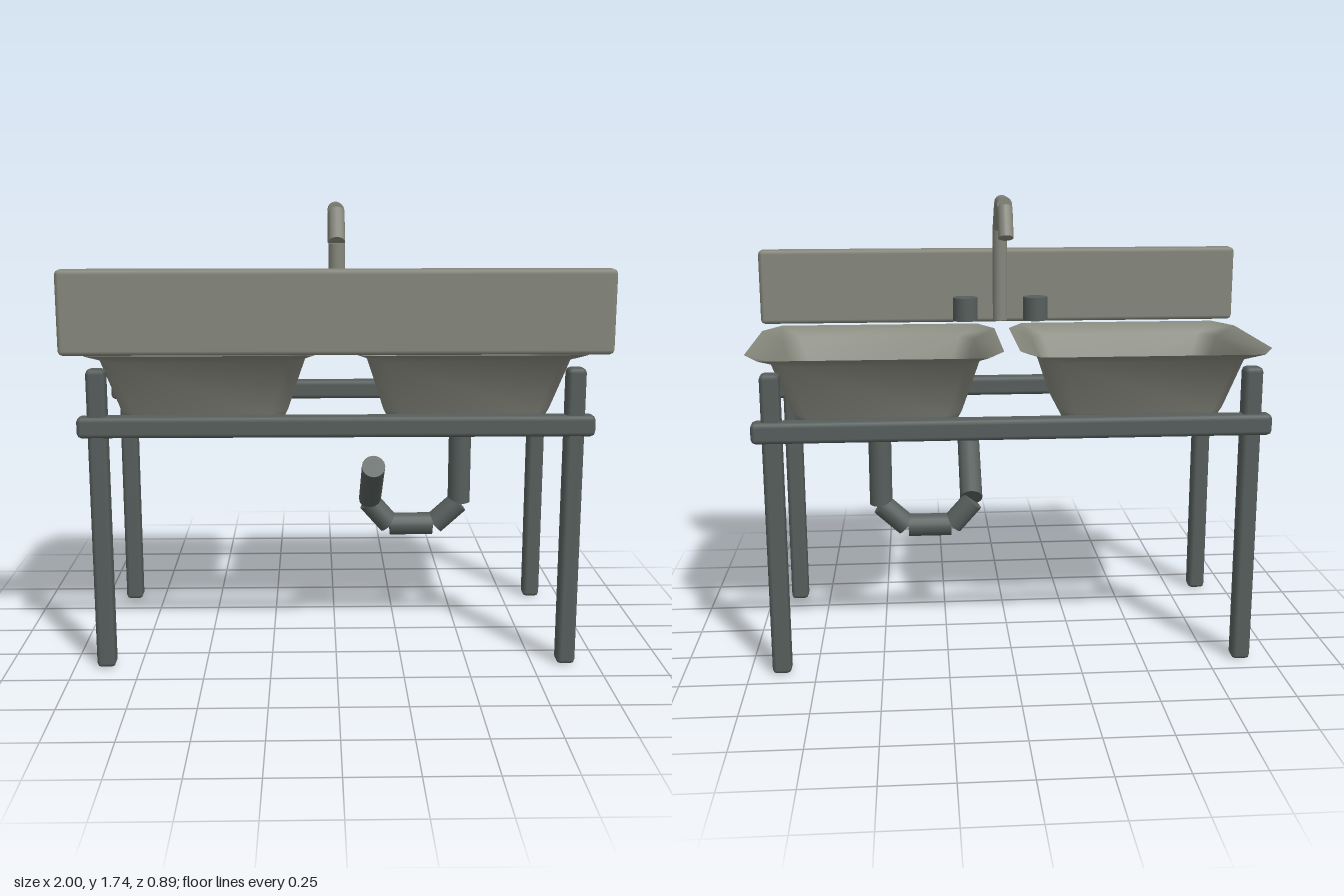
import * as THREE from 'three';
import { RoundedBoxGeometry } from 'three/addons/geometries/RoundedBoxGeometry.js';

const steel = new THREE.MeshStandardMaterial({ color: 0x85877c });
const iron = new THREE.MeshStandardMaterial({ color: 0x565e5c });
const sheet = new THREE.MeshStandardMaterial({ color: 0x85877c, side: THREE.DoubleSide });

function add(parent, name, geometry, material, x = 0, y = 0, z = 0) {
  const mesh = new THREE.Mesh(geometry, material);
  mesh.name = name;
  mesh.position.set(x, y, z);
  parent.add(mesh);
  return mesh;
}

// Box with small chamfered edges
const bar = (w, h, d, r = 0.017) => new RoundedBoxGeometry(w, h, d, 1, r);

// Straight round tube between two points
function tube(parent, name, a, b, radius, material) {
  const from = new THREE.Vector3(...a), to = new THREE.Vector3(...b);
  const dir = to.clone().sub(from);
  const mesh = add(parent, name, new THREE.CylinderGeometry(radius, radius, dir.length(), 16), material);
  mesh.position.copy(from).add(to).multiplyScalar(0.5);
  mesh.quaternion.setFromUnitVectors(new THREE.Vector3(0, 1, 0), dir.normalize());
}

// Basin: cut-cornered rings lofted from the flared rim down to the floor
function basinGeometry() {
  // [height, half width, half depth, corner cut x, corner cut z]
  const rings = [
    [1.2, 0.475, 0.41, 0.065, 0.135],
    [1.163, 0.388, 0.328, 0.06, 0.1],
    [0.955, 0.32, 0.257, 0.06, 0.085],
    [0.915, 0.3, 0.242, 0.065, 0.085],
    [0.915, 0.24, 0.18, 0.06, 0.07],
  ];
  const pos = [], index = [];
  for (const [y, w, d, cx, cz] of rings) {
    const loop = [
      [w, d - cz], [w - cx, d], [cx - w, d], [-w, d - cz],
      [-w, cz - d], [cx - w, -d], [w - cx, -d], [w, cz - d],
    ];
    for (const [x, z] of loop) pos.push(x, y, z);
  }
  for (let r = 0; r < rings.length - 1; r++) {
    for (let i = 0; i < 8; i++) {
      const a = r * 8 + i, b = r * 8 + (i + 1) % 8;
      index.push(a, a + 8, b, b, a + 8, b + 8);
    }
  }
  // Floor
  const centre = pos.length / 3, last = centre - 8;
  pos.push(0, 0.915, 0);
  for (let i = 0; i < 8; i++) index.push(last + i, centre, last + (i + 1) % 8);
  const g = new THREE.BufferGeometry();
  g.setAttribute('position', new THREE.Float32BufferAttribute(pos, 3));
  g.setIndex(index);
  g.computeVertexNormals();
  return g;
}

export function createModel() {
  const model = new THREE.Group();
  model.name = 'doubleSink';

  // Splash board
  add(model, 'splashBoard', bar(2, 0.307, 0.074), steel, 0, 1.362, 0.408);

  // Frame: four legs and two long rails
  const frame = new THREE.Group();
  frame.name = 'frame';
  model.add(frame);
  for (const z of [0.358, -0.393]) {
    for (const x of [-0.88, 0.88]) add(frame, 'leg', bar(0.071, 1.15, 0.071), iron, x, 0.575, z);
  }
  for (const z of [0.371, -0.408]) add(frame, 'rail', bar(1.905, 0.078, 0.074), iron, 0, 0.937, z);

  // Basins with drains, and one tap knob per side
  const basin = basinGeometry();
  for (const side of [-1, 1]) {
    add(model, 'basin', basin, sheet, side * 0.505, 0, -0.02);
    add(model, 'drainPlate', new THREE.CylinderGeometry(0.056, 0.056, 0.012, 20), iron, side * 0.505, 0.917, -0.025);
    const ring = add(model, 'drainRing', new THREE.TorusGeometry(0.06, 0.008, 6, 20), iron, side * 0.505, 0.92, -0.025);
    ring.rotation.x = Math.PI / 2;
    add(model, 'tapKnob', new THREE.CylinderGeometry(0.051, 0.051, 0.097, 16), iron, side * 0.147, 1.272, 0.325);
  }

  // Spout made of straight tube lengths
  const spout = new THREE.Group();
  spout.name = 'spout';
  model.add(spout);
  [
    [[0, 1.22, 0.355], [0, 1.603, 0.355]],
    [[0, 1.606, 0.354], [0, 1.71, 0.26]],
    [[0, 1.714, 0.25], [0, 1.714, 0.092]],
    [[0, 1.705, 0.073], [0, 1.59, 0.018]],
  ].forEach(([a, b]) => tube(spout, 'spoutLength', a, b, 0.03, steel));

  // Waste pipe with its trap
  const waste = new THREE.Group();
  waste.name = 'wastePipe';
  model.add(waste);
  [
    [[0.505, 0.915, -0.02], [0.505, 0.538, -0.02]],
    [[0.503, 0.535, -0.02], [0.405, 0.446, -0.02]],
    [[0.397, 0.445, -0.02], [0.225, 0.445, -0.02]],
    [[0.222, 0.446, -0.02], [0.138, 0.541, -0.02]],
    [[0.143, 0.553, -0.015], [0.143, 0.751, 0.246]],
  ].forEach(([a, b]) => tube(waste, 'wasteLength', a, b, 0.045, iron));

  return model;
}
